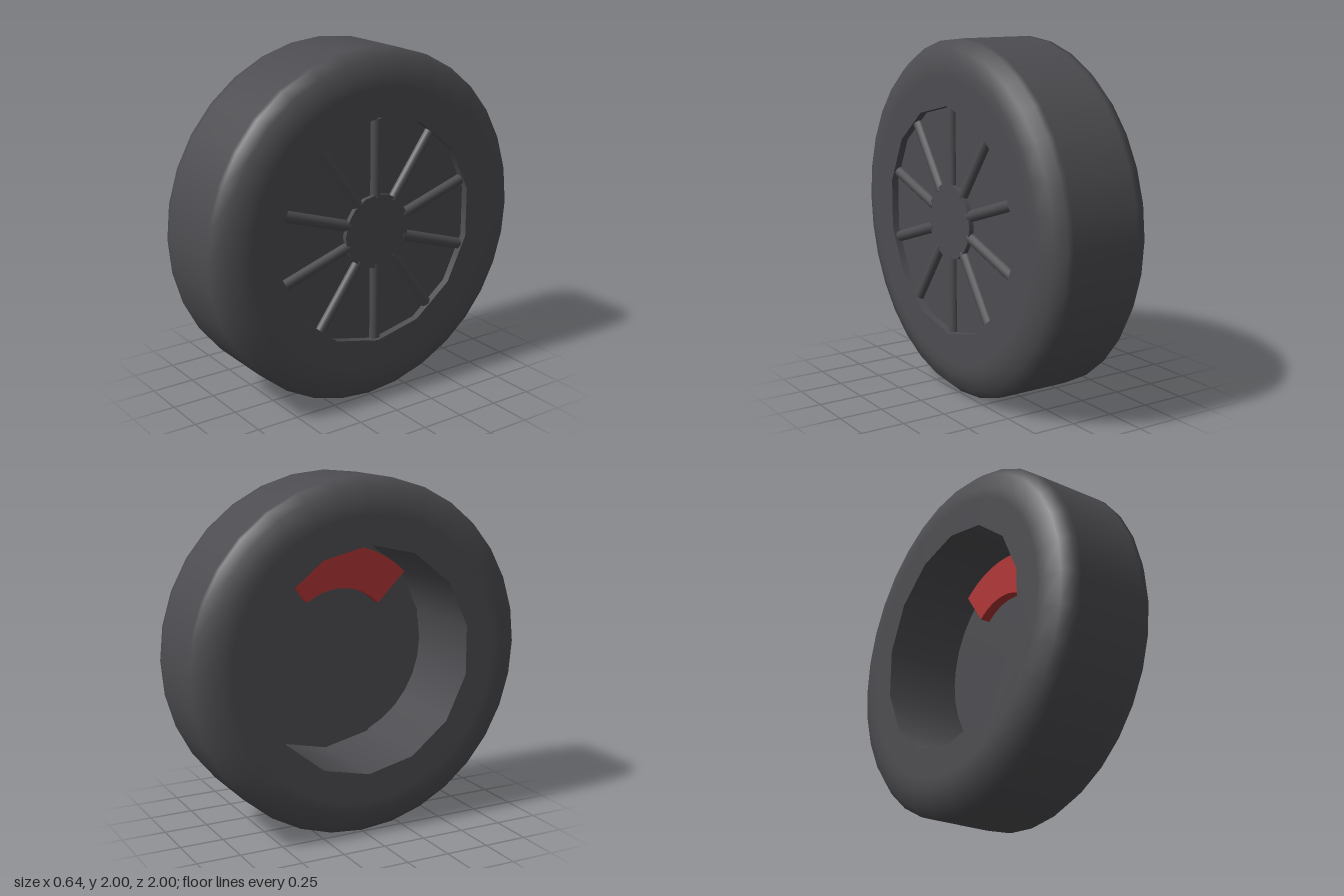
import * as THREE from 'three';

export function createModel() {
  const grey = new THREE.MeshStandardMaterial({ color: 0x4d4c50, side: THREE.DoubleSide });
  grey.name = 'dark grey';
  const red = new THREE.MeshStandardMaterial({ color: 0xb03434 });
  red.name = 'red';

  const HALF = 0.32;   // half the tyre width
  const BORE = 0.64;   // radius of the 14-sided opening
  const SIDES = 14;
  const wheel = new THREE.Group();
  wheel.name = 'wheel';
  wheel.position.y = 1;

  const add = (name, geometry, material = grey) => {
    const mesh = new THREE.Mesh(geometry, material);
    mesh.name = name;
    wheel.add(mesh);
    return mesh;
  };
  // Cylinder lying along x between x0 and x1
  const disc = (name, r, x0, x1, sides, open = false) => {
    const g = new THREE.CylinderGeometry(r, r, x1 - x0, sides, 1, open, Math.PI / 2);
    g.rotateZ(-Math.PI / 2).translate((x0 + x1) / 2, 0, 0);
    return add(name, g);
  };

  // Tread with rounded shoulders
  const half = [[0.2, 1], [0.235, 0.998], [0.29, 0.95], [HALF, 0.86], [HALF, 0.8]];
  const profile = [
    ...half.slice().reverse().map(([x, r]) => new THREE.Vector2(r, -x)),
    ...half.map(([x, r]) => new THREE.Vector2(r, x)),
  ];
  add('tyreTread', new THREE.LatheGeometry(profile, 32).rotateZ(-Math.PI / 2));

  // Flat sidewalls with a polygonal opening
  const polygon = (r, n) => Array.from({ length: n }, (_, i) => {
    const a = Math.PI / 2 + (i / n) * Math.PI * 2;
    return new THREE.Vector2(r * Math.cos(a), r * Math.sin(a));
  });
  for (const side of [1, -1]) {
    const wall = new THREE.Shape(polygon(0.8, 32));
    wall.holes.push(new THREE.Path(polygon(BORE, SIDES)));
    const g = new THREE.ShapeGeometry(wall);
    g.rotateY(side * Math.PI / 2).translate(side * HALF, 0, 0);
    add(side > 0 ? 'outerSidewall' : 'innerSidewall', g);
  }

  // Barrel, recessed rim plate and hub
  disc('rimBarrel', BORE, -HALF, HALF, SIDES, true);
  disc('rimPlate', BORE - 0.002, 0.22, 0.28, SIDES);
  disc('hub', 0.212, 0.28, 0.308, 16);

  // Ten round spokes
  for (let i = 0; i < 10; i++) {
    const g = new THREE.CylinderGeometry(0.032, 0.032, 0.44, 12);
    g.translate(0, 0.41, 0).rotateX((i / 10) * Math.PI * 2).translate(0.28, 0, 0);
    add('spoke', g);
  }

  // Brake disc, axle stub and caliper behind the rim
  disc('brakeDisc', 0.56, 0.09, 0.13, 32);
  disc('axleStub', 0.15, 0.13, 0.22, 16);
  const a0 = THREE.MathUtils.degToRad(55);
  const a1 = THREE.MathUtils.degToRad(135);
  const arc = new THREE.Shape();
  arc.absarc(0, 0, 0.59, a0, a1, false);
  arc.absarc(0, 0, 0.35, a1, a0, true);
  const caliper = new THREE.ExtrudeGeometry(arc, { depth: 0.14, bevelEnabled: false, curveSegments: 10 });
  caliper.rotateY(Math.PI / 2).translate(0.03, 0, 0);
  add('brakeCaliper', caliper, red);

  const model = new THREE.Group();
  model.name = 'carWheel';
  model.add(wheel);
  return model;
}
